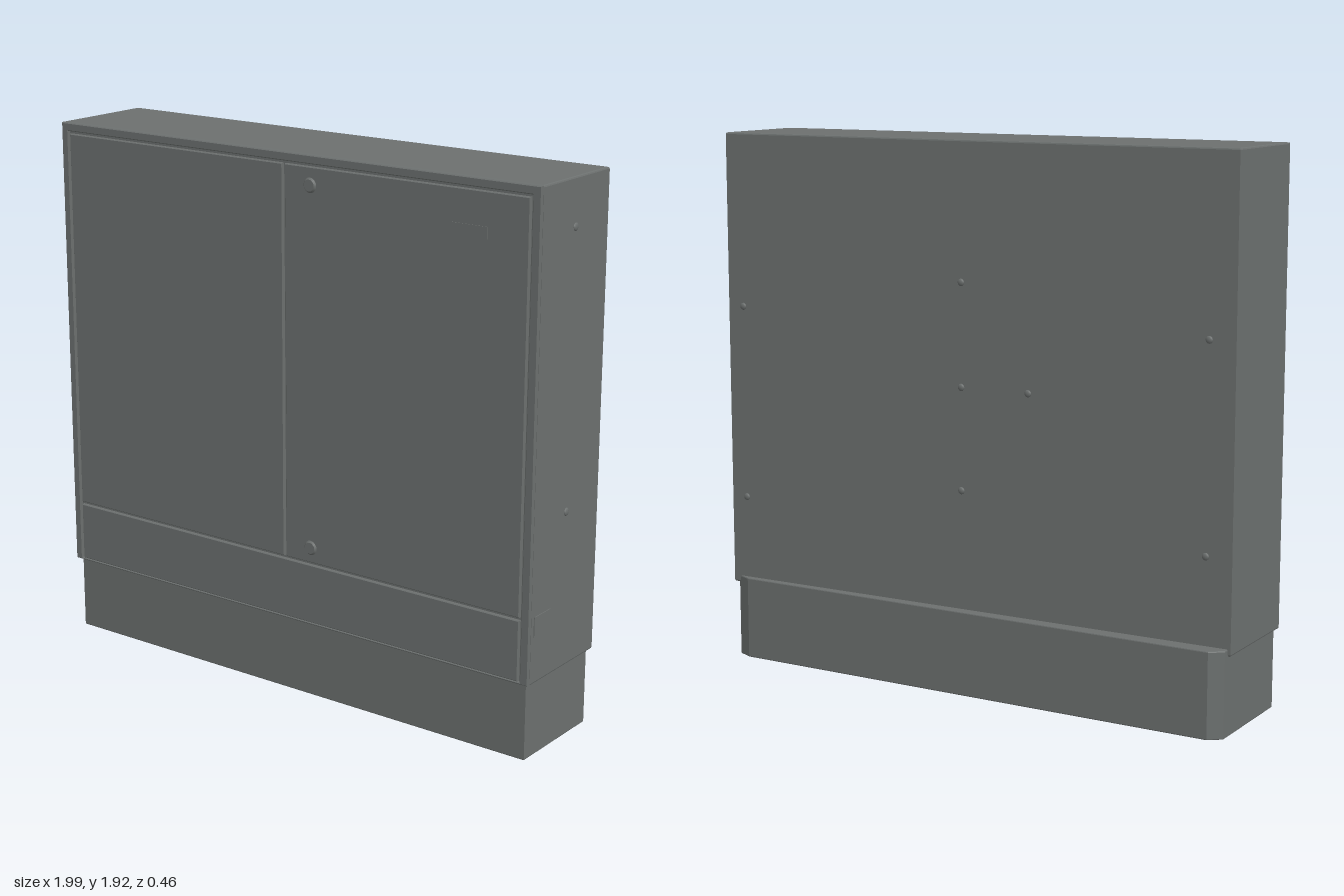
import * as THREE from 'three';

export function createModel() {
  const model = new THREE.Group();
  model.name = 'cabinet';
  const grey = new THREE.MeshStandardMaterial({ color: 0x6c706f });
  grey.name = 'grey';

  const add = (name, geometry, parent = model) => {
    const mesh = new THREE.Mesh(geometry, grey);
    mesh.name = name;
    parent.add(mesh);
    return mesh;
  };

  // Upright prism from an x/z footprint, with small softened edges
  const prism = (points, y0, y1, bevel) => {
    const shape = new THREE.Shape(points.map(([x, z]) => new THREE.Vector2(x, -z)));
    const geometry = new THREE.ExtrudeGeometry(shape, {
      depth: y1 - y0 - 2 * bevel, bevelThickness: bevel, bevelSize: bevel,
      bevelOffset: -bevel, bevelSegments: 2,
    });
    return geometry.rotateX(-Math.PI / 2).translate(0, y0 + bevel, 0);
  };

  const rectangle = (target, x0, x1, y0, y1) => {
    target.moveTo(x0, y0).lineTo(x1, y0).lineTo(x1, y1).lineTo(x0, y1).closePath();
    return target;
  };
  const panel = (shape) => new THREE.ExtrudeGeometry(shape, {
    depth: 0.009, bevelThickness: 0.003, bevelSize: 0.003, bevelOffset: -0.003, bevelSegments: 1,
  });

  // Main case, very slightly out of square
  add('case', prism([[-0.995, 0.215], [0.992, 0.205], [0.992, -0.188], [-0.995, -0.178]], 0.275, 1.92, 0.006));

  // Plinth, recessed at the front and standing proud at the back
  add('plinth', prism([
    [-0.985, 0.2], [0.972, 0.195], [0.972, -0.185], [0.92, -0.208], [-0.94, -0.234], [-0.985, -0.2],
  ], 0, 0.3, 0.004));

  // Front face: frame, doors and lower panel separated by narrow seams
  const front = new THREE.Group();
  front.name = 'front';
  front.position.z = 0.21;
  front.rotation.y = 0.005;
  model.add(front);
  const frame = rectangle(new THREE.Shape(), -0.994, 0.991, 0.276, 1.919);
  frame.holes.push(rectangle(new THREE.Path(), -0.965, 0.96, 0.284, 1.89));
  add('frontFrame', panel(frame), front);
  [
    ['rightDoor', -0.957, -0.005, 0.506, 1.881],
    ['leftDoor', 0.005, 0.952, 0.506, 1.881],
    ['lowerPanel', -0.957, 0.952, 0.284, 0.496],
  ].forEach(([name, ...box]) => add(name, panel(rectangle(new THREE.Shape(), ...box)), front));

  // Door locks and a shallow handle plate
  for (const y of [0.56, 1.82]) {
    add('doorLock', new THREE.CylinderGeometry(0.02, 0.026, 0.006, 16)
      .rotateX(Math.PI / 2).translate(0.11, y, 0.015), front);
  }
  add('handlePlate', new THREE.BoxGeometry(0.14, 0.04, 0.003).translate(0.73, 1.75, 0.0125), front);

  // Rivets on the back
  [
    [0.93, 1.3], [0.93, 0.6], [-0.9, 1.31], [-0.9, 0.6], [0.02, 1.44], [0.02, 0.72],
    [0.02, 1.08], [-0.24, 1.08],
  ].forEach(([x, y]) => add('backRivet', new THREE.SphereGeometry(0.013, 10, 6)
    .scale(1, 1, 0.5).translate(x, y, -0.183 - 0.005 * x)));

  // Side rivets and a small side cover
  for (const y of [0.82, 1.76]) {
    add('sideRivet', new THREE.SphereGeometry(0.014, 10, 6).scale(0.4, 1, 1).translate(0.992, y, 0.01));
  }
  add('sideCover', new THREE.BoxGeometry(0.006, 0.07, 0.1).translate(0.992, 0.475, 0.14));

  return model;
}
